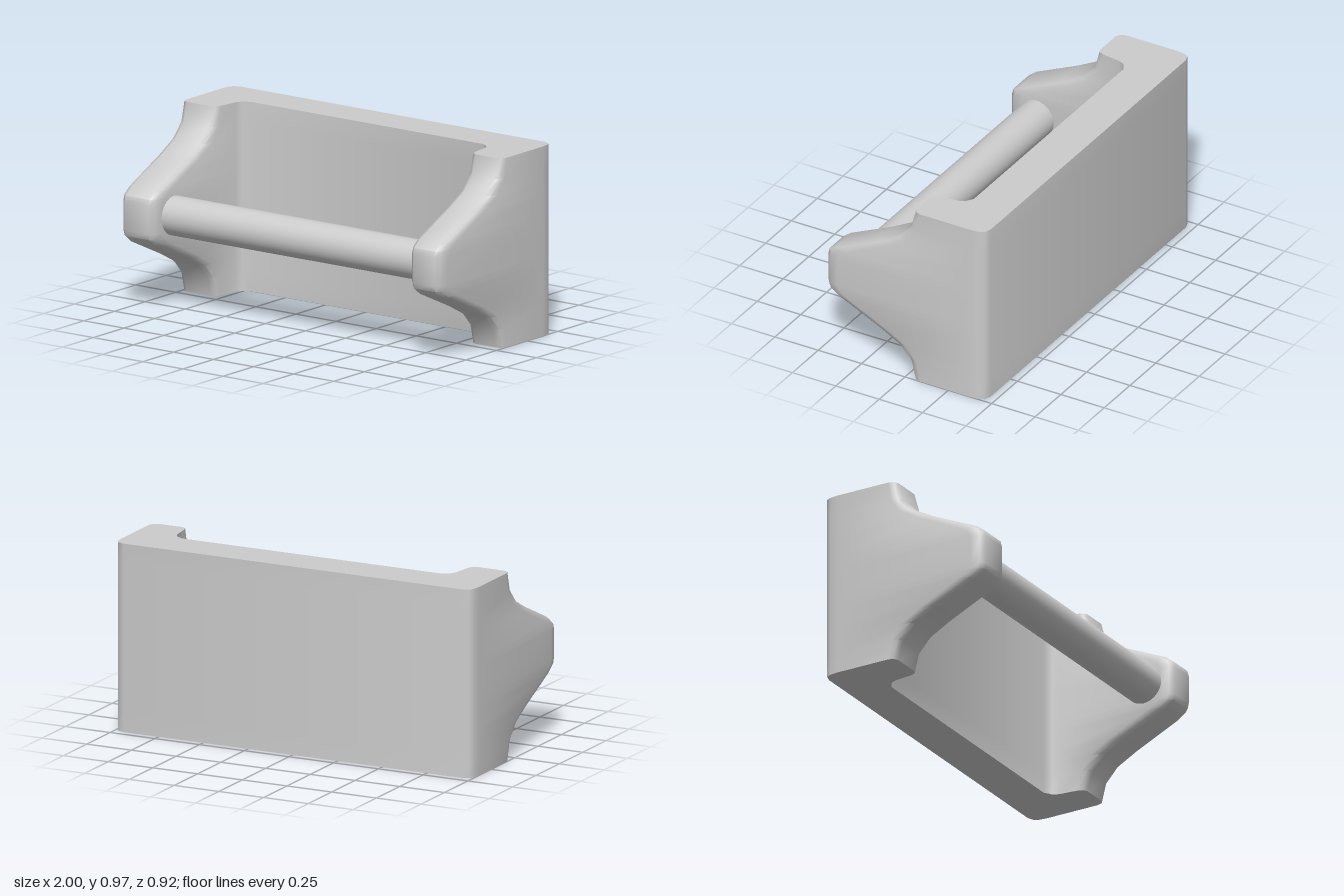
import * as THREE from 'three';
import { toCreasedNormals } from 'three/addons/utils/BufferGeometryUtils.js';

const HEIGHT = 0.967;

// Lower half of the arm silhouette: height, front z, depth of the corner rounding
const half = [
  [0, -0.046, 0.04], [0.1, -0.018, 0.05], [0.174, 0.055, 0.07], [0.235, 0.17, 0.08],
  [0.345, 0.41, 0.09], [0.38, 0.455, 0.08], [0.41, 0.462, 0.07],
];
const stations = [...half, ...half.slice().reverse().map(([y, z, r]) => [HEIGHT - y, z, r])];

// Half of the U-shaped plan, from the back corner round the arm to the inner wall
function halfPlan(front, r, side, inner) {
  return [
    [0.945, -0.462], [0.982, -0.45], [0.995, -0.425], [1, -0.38],
    [1, front - r], [0.99, front - 0.3 * r], [0.965, front],
    [inner + 0.035, front], [inner + 0.012, front - 0.3 * r], [inner + 0.002, front - r],
    [inner - 0.01, -0.185], [inner - 0.025, -0.215], [inner - 0.065, -0.24],
  ].map(([x, z]) => [x * side, z]);
}

function plan(front, r) {
  return [...halfPlan(front, r, -1, 0.78), ...halfPlan(front, r, 1, 0.8).reverse()];
}

// Loft the plan upwards and close it at both ends
function frameGeometry() {
  const positions = [];
  const indices = [];
  const rings = stations.map(([, z, r]) => plan(z, r));
  const n = rings[0].length;
  rings.forEach((ring, k) => ring.forEach(([x, z]) => positions.push(x, stations[k][0], z)));
  for (let k = 0; k < rings.length - 1; k++) {
    for (let i = 0; i < n; i++) {
      const a = k * n + i;
      const b = k * n + (i + 1) % n;
      indices.push(a, b, b + n, a, b + n, a + n);
    }
  }
  const top = (rings.length - 1) * n;
  const outline = rings[0].map(([x, z]) => new THREE.Vector2(x, -z));
  for (const [a, b, c] of THREE.ShapeUtils.triangulateShape(outline, [])) {
    indices.push(top + a, top + b, top + c, c, b, a);
  }
  const geometry = new THREE.BufferGeometry();
  geometry.setAttribute('position', new THREE.Float32BufferAttribute(positions, 3));
  geometry.setIndex(indices);
  return toCreasedNormals(geometry, 0.85);
}

export function createModel() {
  const model = new THREE.Group();
  model.name = 'rollHolder';
  const grey = new THREE.MeshStandardMaterial({ color: 0xcccccc });
  grey.name = 'light grey';

  // Back plate with both arms
  const frame = new THREE.Mesh(frameGeometry(), grey);
  frame.name = 'frame';

  // Round bar between the arms
  const bar = new THREE.Mesh(new THREE.CylinderGeometry(0.1, 0.1, 1.61, 40), grey);
  bar.name = 'bar';
  bar.rotation.z = Math.PI / 2;
  bar.position.set(0.01, HEIGHT / 2, 0.3);

  model.add(frame, bar);
  return model;
}
